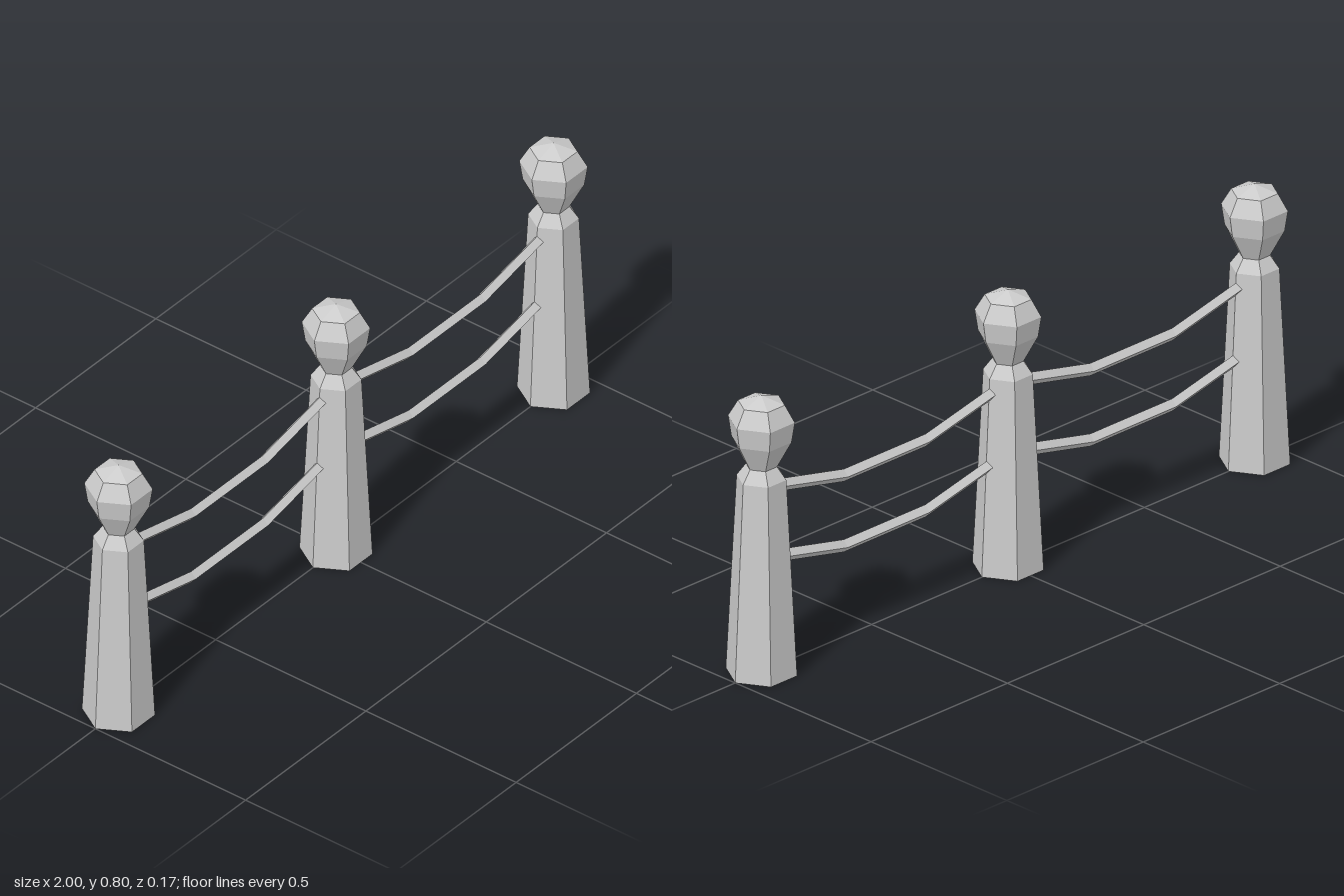
import * as THREE from 'three';

const material = new THREE.MeshStandardMaterial({ color: 0xcccccc, flatShading: true });

function facetedMesh(geometry, name) {
  const flat = geometry.toNonIndexed();
  flat.computeVertexNormals();
  const mesh = new THREE.Mesh(flat, material);
  mesh.name = name;
  return mesh;
}

// Six-sided solid turned around y, with corners pointing along x
function hexTurned(profile, name) {
  const points = profile.map(([r, y]) => new THREE.Vector2(r, y));
  return facetedMesh(new THREE.LatheGeometry(points, 6, Math.PI / 6), name);
}

function makePost(x, name) {
  const post = new THREE.Group();
  post.name = name;
  // Tapered shaft with bevelled shoulder up to the neck
  post.add(hexTurned([[0, 0], [0.096, 0], [0.067, 0.56], [0.042, 0.595]], 'shaft'));
  // Faceted knob flaring out from the neck
  post.add(hexTurned([[0.042, 0.595], [0.081, 0.67], [0.09, 0.728], [0.063, 0.775], [0, 0.796]], 'knob'));
  post.position.x = x;
  return post;
}

// Diamond-section rope bent through four stations, sagging in the middle
function makeRope(centreX, sagY, name) {
  const stations = [[-0.405, 0.056], [-0.15, 0], [0.15, 0], [0.405, 0.056]];
  const geometry = new THREE.CylinderGeometry(0.018, 0.018, 3, 4, 3).rotateZ(-Math.PI / 2);
  const pos = geometry.attributes.position;
  for (let i = 0; i < pos.count; i++) {
    const [x, lift] = stations[Math.round(pos.getX(i) + 1.5)];
    pos.setXYZ(i, x, pos.getY(i) + lift, pos.getZ(i) * 0.85);
  }
  const rope = facetedMesh(geometry, name);
  rope.position.set(centreX, sagY, 0);
  return rope;
}

export function createModel() {
  const fence = new THREE.Group();
  fence.name = 'ropeFence';

  fence.add(makePost(-0.904, 'rightPost'), makePost(0, 'middlePost'), makePost(0.904, 'leftPost'));

  // Two ropes in each bay
  for (const [side, x] of [['right', -0.452], ['left', 0.452]]) {
    fence.add(makeRope(x, 0.464, side + 'UpperRope'));
    fence.add(makeRope(x, 0.261, side + 'LowerRope'));
  }
  return fence;
}
